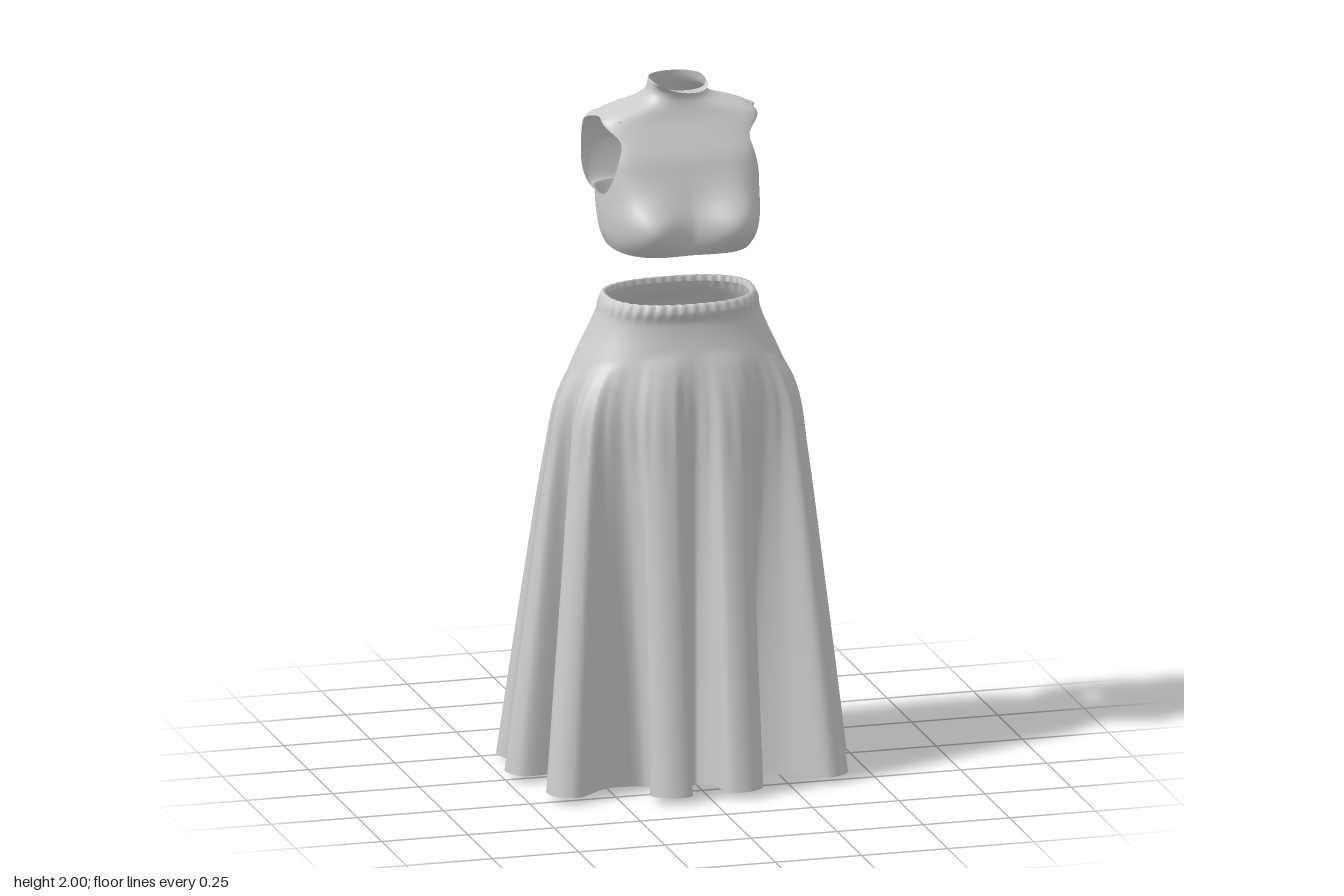
import * as THREE from 'three';
import { mergeVertices } from 'three/addons/utils/BufferGeometryUtils.js';

const material = new THREE.MeshStandardMaterial({ color: 0xcccccc, side: THREE.DoubleSide });

// Smooth lookup in a table of rows [y, a, b, c, ...] sorted by rising y
function profile(rows) {
  const size = rows[0].length - 1;
  const spline = new THREE.CubicInterpolant(rows.map(r => r[0]), rows.flatMap(r => r.slice(1)), size, new Float32Array(size));
  return y => Array.from(spline.evaluate(y));
}

// Rounded-box section: half width X, front depth F, back depth B, squareness n
function section(angle, X, F, B, n) {
  const c = Math.cos(angle), s = Math.sin(angle);
  const r = (Math.abs(c) ** n + Math.abs(s) ** n) ** (-1 / n);
  return [X * c * r, (s > 0 ? F : B) * s * r];
}

// Adds a grid of points (rows run from top to bottom) to shared arrays
function addGrid(rows, pos, idx) {
  const start = pos.length / 3, w = rows[0].length;
  rows.forEach(row => row.forEach(p => pos.push(...p)));
  for (let i = 0; i < rows.length - 1; i++) {
    for (let j = 0; j < w - 1; j++) {
      const a = start + i * w + j, c = a + w;
      idx.push(a, a + 1, c, a + 1, c + 1, c);
    }
  }
}

function surface(name, grids) {
  const pos = [], idx = [];
  grids.forEach(g => addGrid(g, pos, idx));
  let geo = new THREE.BufferGeometry();
  geo.setAttribute('position', new THREE.Float32BufferAttribute(pos, 3));
  geo.setIndex(idx);
  geo = mergeVertices(geo, 1e-5);
  geo.computeVertexNormals();
  const mesh = new THREE.Mesh(geo, material);
  mesh.name = name;
  return mesh;
}

// Sleeveless bodice: front and back panels that part around the armholes
function makeBodice() {
  // y, half width, front z, back z, squareness
  const shape = profile([
    [1.53, 0.2, 0.16, -0.105, 2.8],
    [1.56, 0.212, 0.17, -0.12, 3.1],
    [1.62, 0.22, 0.168, -0.14, 3.5],
    [1.68, 0.22, 0.15, -0.155, 4],
    [1.75, 0.218, 0.13, -0.162, 5],
    [1.8, 0.217, 0.114, -0.16, 5.5],
    [1.85, 0.222, 0.088, -0.148, 5],
    [1.9, 0.222, 0.062, -0.127, 4],
    [1.92, 0.185, 0.055, -0.118, 3.2],
    [1.94, 0.122, 0.05, -0.107, 2.6],
    [1.96, 0.09, 0.05, -0.097, 2.3],
    [1.98, 0.081, 0.065, -0.09, 2.1],
    [1.992, 0.079, 0.1, -0.087, 2.1],
    [2.0, 0.076, 0.157, -0.085, 2.2],
  ]);
  const zc = -0.02, holeY = 1.79, holeH = 0.11, holeW = 0.115;
  const heights = [];
  for (let i = 0; i < 16; i++) heights.push(2 - 0.1 * (i / 16) ** 1.3);
  for (let i = 0; i <= 28; i++) heights.push(holeY + holeH * Math.cos(Math.PI * i / 28));
  for (let i = 1; i <= 16; i++) heights.push(1.68 - 0.15 * i / 16);

  const panel = front => heights.map(y => {
    const [halfWidth, zf, zb, squareness] = shape(y);
    const F = zf - zc, B = zc - zb;
    // The panel starts at the armhole edge, or at the side seam elsewhere
    const opening = holeW * Math.sqrt(Math.max(0, 1 - ((y - holeY) / holeH) ** 2));
    const q = opening < 1e-5 ? 0 : Math.min(0.92, opening / (front ? F : B));
    // The back is broader and squarer behind the armholes
    const back = front ? 0 : opening / holeW;
    const X = halfWidth + 0.035 * back, n = squareness + 1.5 * back;
    const edge = Math.atan2(q, (1 - q ** n) ** (1 / n));
    const row = [];
    for (let j = 0; j <= 64; j++) {
      const angle = (front ? 0 : Math.PI) + edge + (Math.PI - 2 * edge) * j / 64;
      let [x, z] = section(angle, X, F, B, n);
      // Bust, and the shallow groove along the spine
      const bust = Math.exp(-(((Math.abs(x) - 0.125) / 0.08) ** 2) - ((y - 1.615) / 0.078) ** 2);
      z += 0.048 * bust * Math.min(1, Math.max(0, Math.sin(angle)) * 1.6);
      if (!front) z += 0.014 * Math.exp(-((x / 0.04) ** 2)) * Math.min(1, Math.max(0, (1.95 - y) * 8));
      row.push([x, y, z + zc]);
    }
    return row;
  });
  return surface('bodice', [panel(true), panel(false)]);
}

// Long skirt: smooth over the hips, dropping into ten deep flutes at the hem
function makeSkirt() {
  // y, half width, front depth, back depth
  const shape = profile([
    [0, 0.335, 0.2, 0.24],
    [0.5, 0.335, 0.2, 0.24],
    [0.9, 0.335, 0.2, 0.24],
    [1.1, 0.325, 0.2, 0.238],
    [1.2, 0.288, 0.187, 0.22],
    [1.3, 0.243, 0.165, 0.178],
    [1.34, 0.229, 0.163, 0.15],
    [1.365, 0.224, 0.172, 0.137],
    [1.39, 0.212, 0.165, 0.125],
  ]);
  // Flute tips at the hem as [x, z], in order around the body
  const tips = [
    [0.42, 0.255], [0.11, 0.365], [-0.125, 0.372], [-0.435, 0.26], [-0.495, -0.02],
    [-0.465, -0.215], [-0.165, -0.365], [0.16, -0.37], [0.46, -0.21], [0.492, -0.02],
  ].map(([x, z]) => new THREE.Vector3(x, 0.02, z));
  const count = tips.length;

  // Hem outline: tip, side, neck, valley, neck, side for every flute
  const hem = [], angles = [];
  const along = (tip, k, side) => {
    const d = new THREE.Vector3(tip.x, 0, tip.z).normalize();
    return new THREE.Vector3(tip.x * k - d.z * side, 0.02 * k, tip.z * k + d.x * side);
  };
  const angleOf = v => Math.atan2(v.z, v.x);
  let turn = angleOf(tips[0]);
  tips.forEach((tip, i) => {
    const next = tips[(i + 1) % count];
    const valley = tip.clone().add(next).multiplyScalar(0.5 * 0.6 * 0.88).setY(0);
    hem.push(tip, along(tip, 0.93, 0.057), along(tip, 0.64, 0.04), valley, along(next, 0.64, -0.04), along(next, 0.93, -0.057));
    const gap = (angleOf(next) - angleOf(tip) + 2 * Math.PI) % (2 * Math.PI);
    for (let k = 0; k < 6; k++) angles.push(turn + gap * k / 6);
    turn += gap;
  });
  angles.push(turn);
  const hemCurve = new THREE.CatmullRomCurve3(hem, true, 'centripetal');

  const samples = 480, per = samples / hem.length;
  const ring = (y, scale = 1) => {
    const row = [];
    const [X, F, B] = shape(y);
    for (let j = 0; j <= samples; j++) {
      const m = j % samples, k = Math.floor(m / per);
      const angle = THREE.MathUtils.lerp(angles[k], angles[k + 1], m / per - k);
      let [x, z] = section(angle, X, F, B, 2.4);
      // Waist gathers, and fine pleats where the flutes begin on front and sides
      const gather = 0.013 * THREE.MathUtils.smoothstep(y, 1.335, 1.38) * Math.cos(44 * angle);
      const pleat = 0.01 * Math.exp(-(((y - 1.02) / 0.11) ** 2)) * Math.cos(46 * angle)
        * THREE.MathUtils.smoothstep(Math.sin(angle), -0.4, 0.1);
      const size = scale * (1 + gather + pleat);
      x *= size;
      z *= size;
      // Flutes open from the hip to the hem, starting higher at the front
      const start = 1.17 + 0.08 * Math.sin(angle);
      const s = y < start ? ((start - y) / start) ** 0.9 : 0;
      const h = hemCurve.getPoint(m / samples);
      row.push([x + (h.x - x) * s, y + h.y * s, z + (h.z - z) * s]);
    }
    return row;
  };
  // Turned-in waist edge first, then down to the hem
  const rows = [ring(1.372, 0.92), ring(1.387, 0.96)];
  for (let i = 0; i <= 24; i++) rows.push(ring(1.39 - 0.24 * i / 24));
  for (let i = 1; i <= 36; i++) rows.push(ring(1.15 * (1 - i / 36)));
  return surface('skirt', [rows]);
}

export function createModel() {
  const group = new THREE.Group();
  group.name = 'dress';
  group.add(makeBodice(), makeSkirt());
  return group;
}
